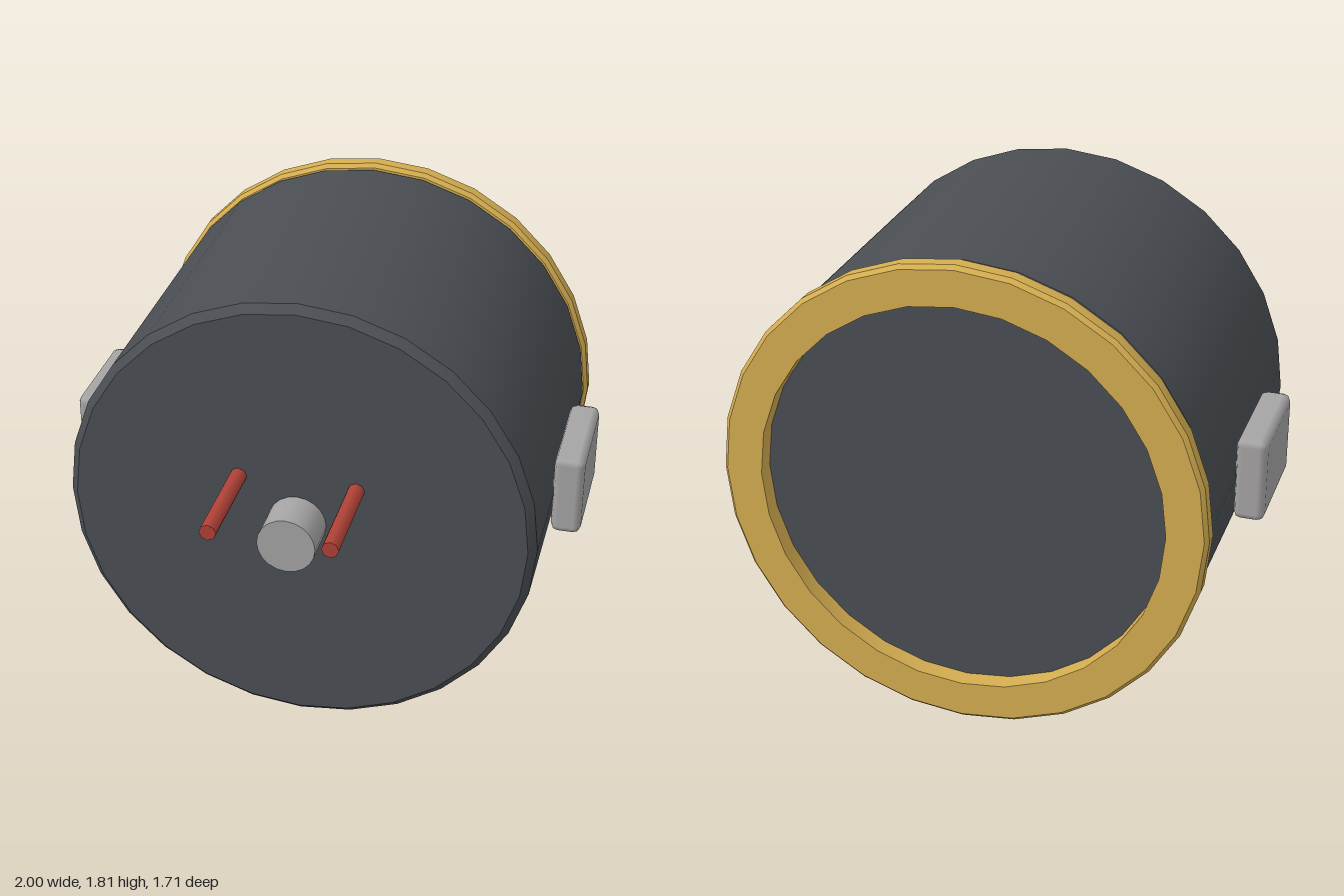
import * as THREE from 'three';
import { toCreasedNormals } from 'three/addons/utils/BufferGeometryUtils.js';
import { RoundedBoxGeometry } from 'three/addons/geometries/RoundedBoxGeometry.js';

const CENTER_Y = 0.91;
const SIDES = 28;

function material(name, color) {
  const m = new THREE.MeshStandardMaterial({ color });
  m.name = name;
  return m;
}

// Turned part around the z axis; profile is [radius, z], running from back to front on the outside
function turned(profile) {
  const points = profile.map(([r, z]) => new THREE.Vector2(r, z));
  const geometry = new THREE.LatheGeometry(points, SIDES).rotateX(Math.PI / 2);
  return toCreasedNormals(geometry, Math.PI / 6);
}

// Round bar along z from z0 to z1
function bar(radius, z0, z1, sides) {
  return new THREE.CylinderGeometry(radius, radius, z1 - z0, sides)
    .rotateX(Math.PI / 2)
    .translate(0, 0, (z0 + z1) / 2);
}

export function createModel() {
  const model = new THREE.Group();
  model.name = 'motor';

  const charcoal = material('charcoal', 0x4a4e53);
  const brass = material('brass', 0xd4ad50);
  const steel = material('steel', 0xa6a4a4);
  const red = material('red', 0xb04237);

  function add(name, geometry, mat, x = 0, y = CENTER_Y, z = 0) {
    const mesh = new THREE.Mesh(geometry, mat);
    mesh.name = name;
    mesh.position.set(x, y, z);
    model.add(mesh);
  }

  // Drum body with chamfered ends
  add('body', turned([
    [0, -0.785], [0.86, -0.785], [0.89, -0.755],
    [0.89, 0.435], [0.86, 0.465], [0, 0.465],
  ]), charcoal);

  // Open ring around the back end
  add('rearRing', turned([
    [0.755, -0.775], [0.755, -0.855], [0.89, -0.855], [0.905, -0.84],
    [0.905, -0.79], [0.89, -0.775], [0.755, -0.775],
  ]), brass);

  // Short shaft in the middle of the front
  add('shaft', bar(0.11, 0.44, 0.63, 20), steel);

  // Matching wires and side mounting pads
  for (const [side, s] of [['left', 1], ['right', -1]]) {
    add(side + 'Wire', bar(0.032, 0.44, 0.855, 8), red, s * 0.222, 1.08);
    add(side + 'MountPad', new RoundedBoxGeometry(0.115, 0.325, 0.445, 1, 0.028),
      steel, s * 0.9425, 0.912, -0.16);
  }

  return model;
}
